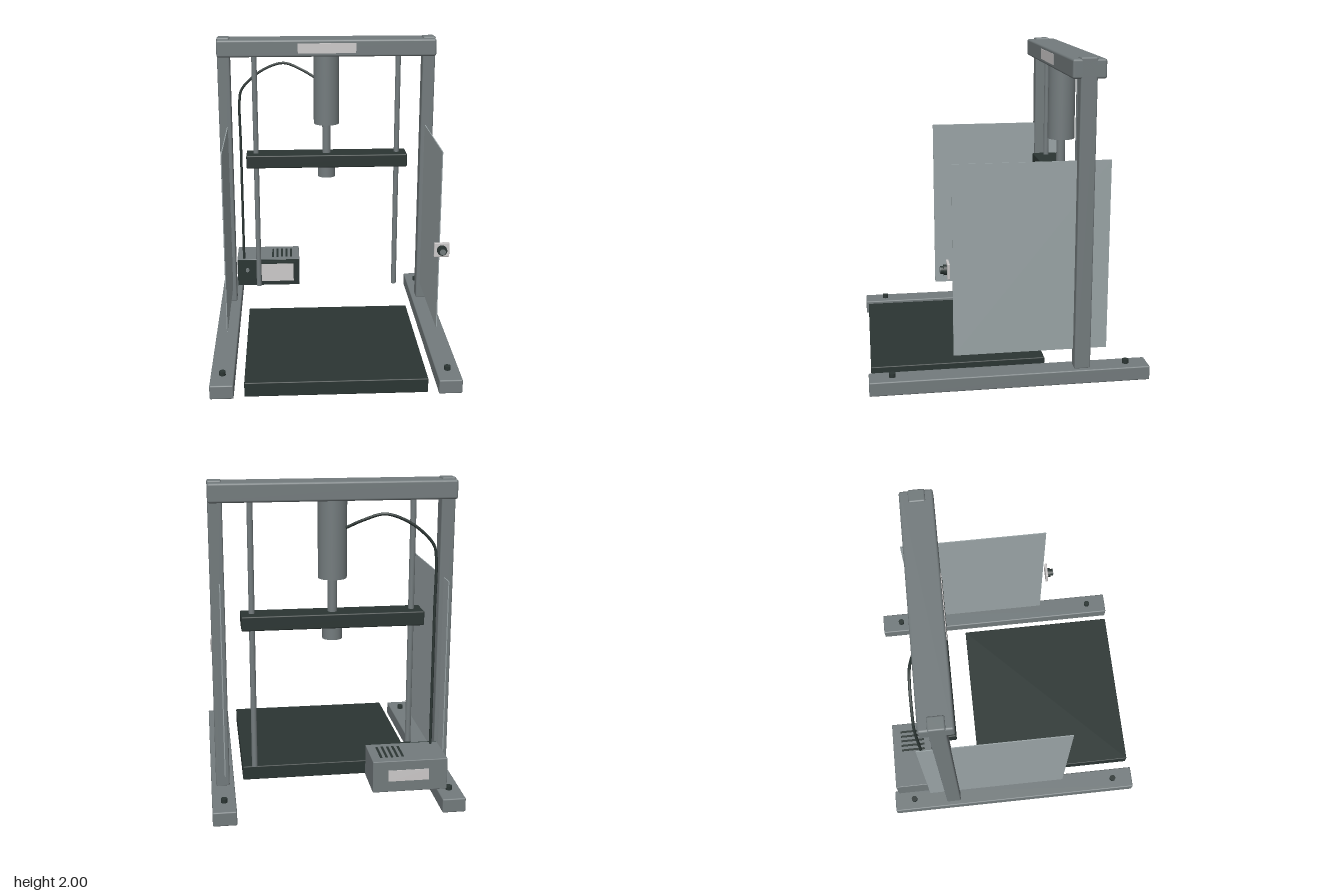
import * as THREE from 'three';
import { RoundedBoxGeometry } from 'three/addons/geometries/RoundedBoxGeometry.js';

const mat = (name, color) => {
  const m = new THREE.MeshStandardMaterial({ color });
  m.name = name;
  return m;
};

export function createModel() {
  const steel = mat('steel grey', 0x737b7d);
  const panelGrey = mat('panel grey', 0x9aa4a6);
  const dark = mat('dark green black', 0x2b3533);
  const light = mat('light grey', 0xcdcaca);

  const model = new THREE.Group();
  model.name = 'press';

  const add = (name, geometry, material, x = 0, y = 0, z = 0, parent = model) => {
    const mesh = new THREE.Mesh(geometry, material);
    mesh.name = name;
    mesh.position.set(x, y, z);
    parent.add(mesh);
    return mesh;
  };
  // Box given by its limits; r > 0 rounds the edges
  const box = (name, material, [x0, x1], [y0, y1], [z0, z1], r = 0, parent = model) => {
    const size = [x1 - x0, y1 - y0, z1 - z0];
    const g = r ? new RoundedBoxGeometry(...size, 2, r) : new THREE.BoxGeometry(...size);
    return add(name, g, material, (x0 + x1) / 2, (y0 + y1) / 2, (z0 + z1) / 2, parent);
  };
  // Upright cylinder between two heights
  const rod = (name, material, r, x, z, y0, y1, parent = model) =>
    add(name, new THREE.CylinderGeometry(r, r, y1 - y0, 32), material, x, (y0 + y1) / 2, z, parent);
  // Cylinder along z
  const knob = (name, material, r, x, y, z0, z1, parent = model) => {
    const g = new THREE.CylinderGeometry(r, r, z1 - z0, 28).rotateX(Math.PI / 2);
    return add(name, g, material, x, y, (z0 + z1) / 2, parent);
  };

  const axisZ = -0.443;

  // Frame: base rails, columns, side panels, guide rods, bolts
  for (const s of [-1, 1]) {
    const span = (a, b) => (s > 0 ? [a, b] : [-b, -a]);
    box('baseRail', steel, span(0.625, 0.77), [0, 0.09], [-0.866, 0.866], 0.008);
    box('column', steel, span(0.655, 0.74), [0.085, 2], [-0.493, -0.393], 0.01);
    box('sidePanel', panelGrey, span(0.681, 0.687), [0.2, 1.39], [-0.604, 0.35]);
    rod('guideRod', steel, 0.018, s * 0.493, axisZ, 0.19, 1.89);
    for (const z of [-0.727, 0.724]) rod('railBolt', dark, 0.02, s * 0.697, z, 0.085, 0.115);
  }
  box('topBeam', steel, [-0.74, 0.74], [1.875, 1.99], [-0.547, -0.345], 0.014);
  box('beamPlate', light, [-0.196, 0.196], [1.9, 1.967], [-0.346, -0.341]);

  // Bed and moving press
  box('bed', dark, [-0.56, 0.56], [0.004, 0.097], [-0.24, 0.85], 0.006);
  rod('pressCylinder', steel, 0.088, 0, axisZ, 1.4, 1.885);
  rod('pressRam', steel, 0.029, 0, axisZ, 1.18, 1.41);
  box('platen', dark, [-0.56, 0.56], [1.1, 1.19], [axisZ - 0.085, axisZ + 0.085], 0.008);
  rod('pressHead', steel, 0.061, 0, axisZ, 1.02, 1.11);

  // Control box
  const control = new THREE.Group();
  control.name = 'controlBox';
  model.add(control);
  box('controlCase', steel, [-0.655, -0.196], [0.145, 0.345], [-0.832, -0.56], 0.005, control);
  box('controlFront', dark, [-0.652, -0.199], [0.147, 0.343], [-0.562, -0.55], 0, control);
  box('screenFrame', dark, [-0.495, -0.226], [0.172, 0.336], [-0.552, -0.522], 0, control);
  box('screen', light, [-0.476, -0.24], [0.19, 0.324], [-0.523, -0.518], 0, control);
  knob('controlKnob', steel, 0.013, -0.58, 0.27, -0.552, -0.53, control);
  box('rearPlate', light, [-0.54, -0.29], [0.215, 0.285], [-0.836, -0.831], 0, control);
  for (let i = 0; i < 5; i++) {
    const x = -0.391 + i * 0.0335;
    box('vent', dark, [x - 0.007, x + 0.007], [0.343, 0.348], [-0.773, -0.61], 0, control);
  }
  for (const x of [-0.59, -0.265])
    for (const z of [-0.605, -0.775]) rod('foot', dark, 0.014, x, z, 0.132, 0.148, control);

  // Cable from the press cylinder down to the control box
  const path = new THREE.CatmullRomCurve3([
    [-0.075, 1.71, -0.49], [-0.17, 1.76, -0.535], [-0.29, 1.8, -0.573], [-0.4, 1.77, -0.583],
    [-0.51, 1.7, -0.587], [-0.59, 1.61, -0.59], [-0.605, 1.54, -0.59], [-0.605, 1.2, -0.59],
    [-0.605, 0.34, -0.59],
  ].map((p) => new THREE.Vector3(...p)));
  add('cable', new THREE.TubeGeometry(path, 90, 0.009, 10), dark);

  // Start switch in front of the left panel
  box('switchPlate', light, [0.646, 0.744], [0.707, 0.803], [0.37, 0.386], 0.004);
  knob('switchRing', dark, 0.032, 0.695, 0.755, 0.384, 0.405);
  knob('switchStem', dark, 0.024, 0.695, 0.755, 0.4, 0.424);
  knob('switchFace', steel, 0.019, 0.695, 0.755, 0.42, 0.427);

  return model;
}
